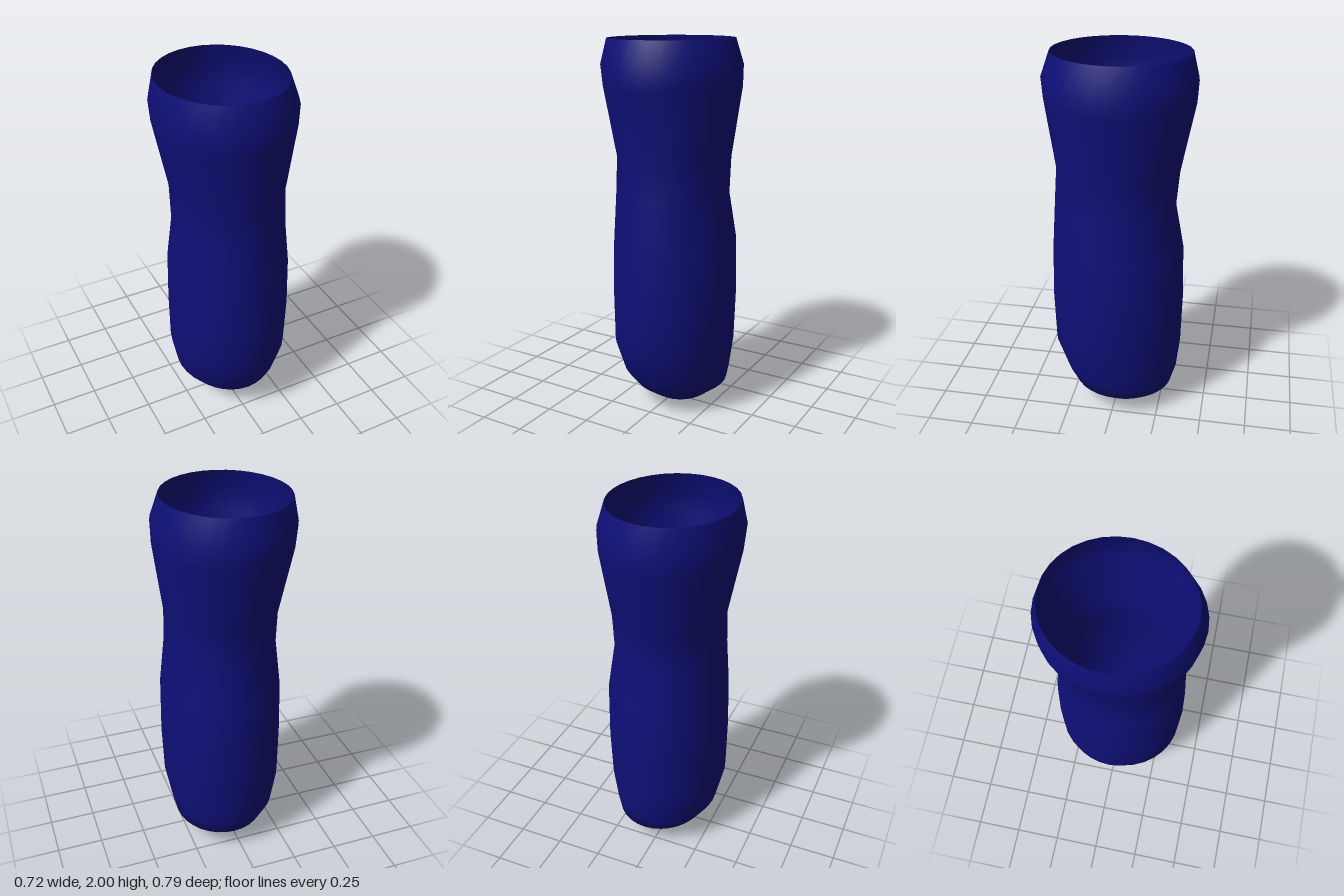
import * as THREE from 'three';

// Horizontal elliptical rings: [y, xMin, xMax, zMin, zMax]
const RINGS = [
  [0.0, 0.03, 0.05, -0.062, -0.04],
  [0.04, -0.113, 0.19, -0.2, 0.125],
  [0.12, -0.208, 0.29, -0.307, 0.241],
  [0.2, -0.268, 0.309, -0.333, 0.294],
  [0.375, -0.306, 0.339, -0.352, 0.358],
  [0.65, -0.309, 0.348, -0.358, 0.366],
  [0.94, -0.303, 0.343, -0.351, 0.358],
  [1.195, -0.28, 0.309, -0.302, 0.343],
  [1.395, -0.28, 0.309, -0.319, 0.329],
  [1.76, -0.351, 0.356, -0.39, 0.385],
  [1.87, -0.361, 0.358, -0.396, 0.395],
  [2.0, -0.334, 0.314, -0.363, 0.35],
];
const SIDES = 32;

// Skin a smooth open tube through the rings
function loft(rings, sides) {
  const positions = [], index = [];
  rings.forEach(([y, x0, x1, z0, z1], i) => {
    for (let j = 0; j < sides; j++) {
      const a = (j / sides) * Math.PI * 2;
      positions.push(
        (x0 + x1) / 2 + Math.cos(a) * (x1 - x0) / 2,
        y,
        (z0 + z1) / 2 + Math.sin(a) * (z1 - z0) / 2
      );
      if (i === rings.length - 1) continue;
      const k = (j + 1) % sides;
      const p = i * sides + j, q = i * sides + k;
      index.push(p, p + sides, q, q, p + sides, q + sides);
    }
  });
  const geometry = new THREE.BufferGeometry();
  geometry.setAttribute('position', new THREE.Float32BufferAttribute(positions, 3));
  geometry.setIndex(index);
  geometry.computeVertexNormals();
  return geometry;
}

export function createModel() {
  const group = new THREE.Group();
  group.name = 'sleeve';

  const navy = new THREE.MeshStandardMaterial({ color: 0x0f0f78, side: THREE.DoubleSide });
  navy.name = 'navy';

  // Thin-walled sleeve, open at the top, with a pinhole in its rounded end
  const shell = new THREE.Mesh(loft(RINGS, SIDES), navy);
  shell.name = 'sleeveShell';
  group.add(shell);
  return group;
}
